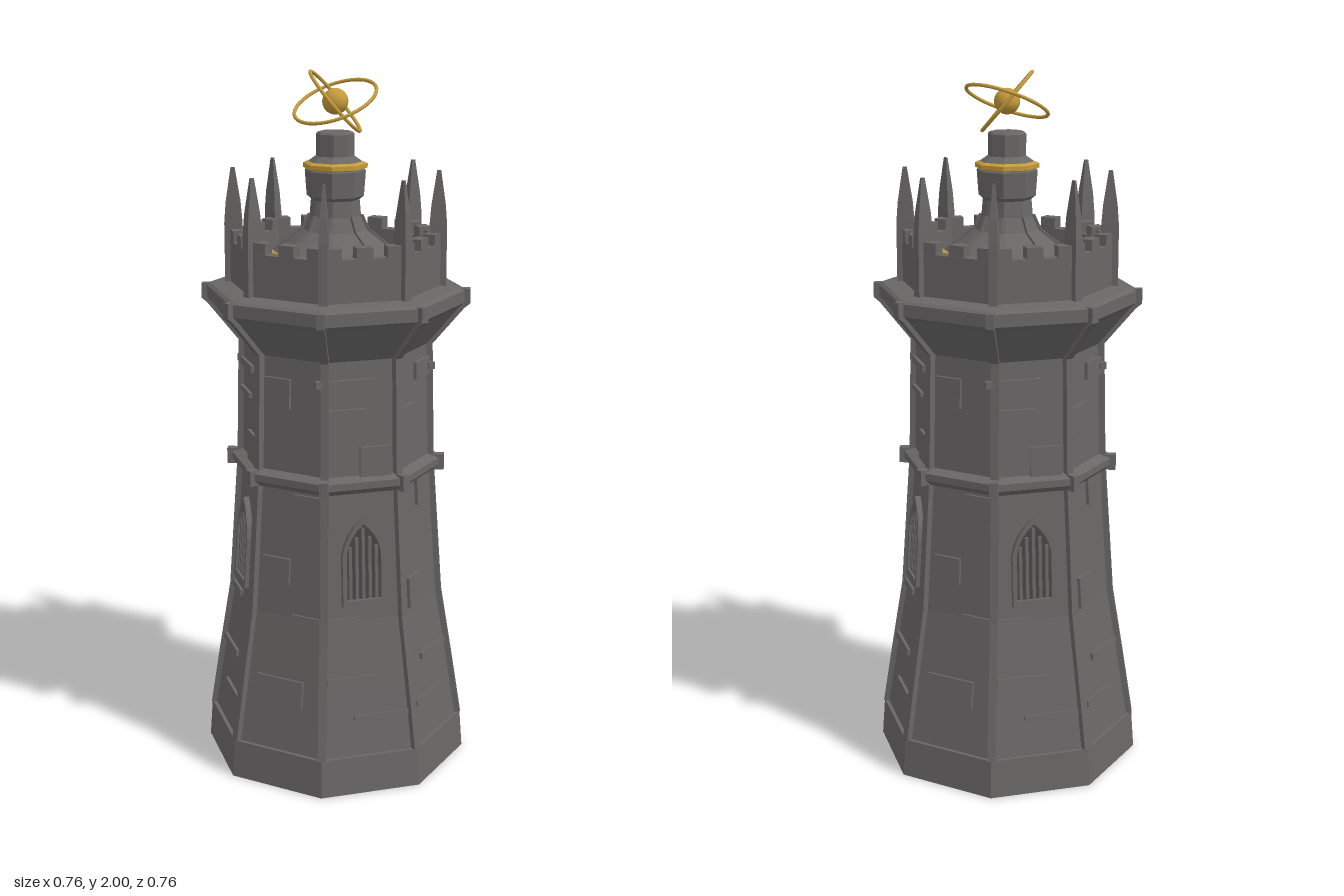
import * as THREE from 'three';

const stone = new THREE.MeshStandardMaterial({ color: 0x696666 });
stone.name = 'stone';
const darkStone = new THREE.MeshStandardMaterial({ color: 0x454343 });
darkStone.name = 'dark stone';
const gold = new THREE.MeshStandardMaterial({ color: 0xc49a3c });
gold.name = 'gold';

const STEP = Math.PI / 4;
const COS = Math.cos(STEP / 2);

// Corner radius of the shaft at each height: [radius, y]
const SHAFT = [[0.363, 0.11], [0.333, 0.3], [0.3, 0.5], [0.279, 0.8], [0.272, 0.9], [0.264, 1.24]];

function flat(geometry) {
  const g = geometry.index ? geometry.toNonIndexed() : geometry;
  g.computeVertexNormals();
  return g;
}

function add(parent, name, geometry, material = stone, x = 0, y = 0, z = 0) {
  const mesh = new THREE.Mesh(geometry, material);
  mesh.name = name;
  mesh.position.set(x, y, z);
  parent.add(mesh);
  return mesh;
}

// Octagonal solid with its corners on the x and z axes
function octagon(points, sides = 8) {
  return flat(new THREE.LatheGeometry(points.map(p => new THREE.Vector2(...p)), sides));
}

// Upright fin from an outline in (radius, y), pointing along +z
function fin(points, width) {
  const shape = new THREE.Shape(points.map(p => new THREE.Vector2(...p)));
  const g = new THREE.ExtrudeGeometry(shape, { depth: width, bevelEnabled: false });
  g.translate(0, 0, -width / 2);
  return g.rotateY(-Math.PI / 2);
}

// Fin following a profile, standing out from it and sunk into it
function rib(profile, out, sink, width) {
  const outer = profile.map(([r, y]) => [r + out, y]);
  const inner = profile.map(([r, y]) => [r - sink, y]).reverse();
  return fin([...outer, ...inner], width);
}

// Distance of a wall face from the axis, and its lean, at height y
function wall(y) {
  let i = 0;
  while (i < SHAFT.length - 2 && y > SHAFT[i + 1][1]) i++;
  const [r0, y0] = SHAFT[i], [r1, y1] = SHAFT[i + 1];
  const slope = (r1 - r0) / (y1 - y0);
  return { z: (r0 + slope * (y - y0)) * COS, tilt: Math.atan(slope * COS) };
}

// Pointed arch outline standing on y = -h/2
function arch(T, w, h) {
  const a = w / 2, b = h / 2, spring = b - w * 0.85;
  const s = new T();
  s.moveTo(-a, -b);
  s.lineTo(a, -b);
  s.lineTo(a, spring);
  s.quadraticCurveTo(a * 0.85, spring + w * 0.5, 0, b);
  s.quadraticCurveTo(-a * 0.85, spring + w * 0.5, -a, spring);
  s.closePath();
  return s;
}

function makeWindow() {
  const group = new THREE.Group();
  group.name = 'window';
  const frame = arch(THREE.Shape, 0.125, 0.255);
  frame.holes.push(arch(THREE.Path, 0.1, 0.22));
  add(group, 'windowFrame', new THREE.ExtrudeGeometry(frame, { depth: 0.022, bevelEnabled: false, curveSegments: 4 }), stone, 0, 0, -0.006);
  add(group, 'windowPane', new THREE.ShapeGeometry(arch(THREE.Shape, 0.11, 0.235), 4), darkStone, 0, 0, 0.003);
  for (let i = -2; i <= 2; i++) {
    const h = 0.205 - Math.abs(i) * 0.026;
    add(group, 'windowBar', new THREE.BoxGeometry(0.009, h, 0.012), stone, i * 0.019, -0.108 + h / 2, 0.005);
  }
  const { z, tilt } = wall(0.67);
  group.position.set(0, 0.67, z);
  group.rotation.x = tilt;
  return group;
}

// Raised stones: [u, y, width, height]
const WINDOW_SIDE = [[0.04, 0.955, 0.09, 0.085], [-0.05, 1.18, 0.16, 0.02], [-0.05, 1.1, 0.12, 0.014],
  [-0.06, 0.5, 0.1, 0.018], [-0.04, 0.33, 0.15, 0.018], [0.04, 0.22, 0.16, 0.014]];
const PLAIN_SIDES = [
  [[-0.045, 1.14, 0.08, 0.085], [0.055, 0.815, 0.085, 0.085], [-0.04, 0.63, 0.085, 0.075],
    [-0.01, 0.28, 0.15, 0.08], [0.06, 0.5, 0.09, 0.016]],
  [[-0.045, 1.05, 0.08, 0.09], [0.05, 1.18, 0.09, 0.05], [0.04, 0.83, 0.08, 0.08],
    [-0.035, 0.55, 0.085, 0.09], [0.03, 0.35, 0.15, 0.018], [-0.03, 0.23, 0.15, 0.016]]];

export function createModel() {
  const tower = new THREE.Group();
  tower.name = 'tower';

  // Shaft, flared gallery and parapet in one profile
  add(tower, 'towerBody', octagon([[0, 0], [0.382, 0], [0.374, 0.11], ...SHAFT,
    [0.352, 1.345], [0.368, 1.36], [0.368, 1.395], [0.358, 1.402], [0.3, 1.408],
    [0.3, 1.525], [0.26, 1.525], [0.26, 1.455], [0.236, 1.455], [0.226, 1.475], [0.18, 1.485]]));
  add(tower, 'beltCourse', octagon([[0.26, 0.86], [0.285, 0.868], [0.304, 0.885], [0.304, 0.905], [0.26, 0.92]]));

  // Inner roof, neck and pedestal
  add(tower, 'roofTrim', octagon([[0.185, 1.475], [0.192, 1.482], [0.192, 1.496], [0.18, 1.5]]), gold);
  add(tower, 'roof', octagon([[0.183, 1.49], [0.135, 1.525], [0.09, 1.56], [0.072, 1.6], [0.068, 1.645],
    [0.08, 1.655], [0.085, 1.725], [0.08, 1.73]]));
  add(tower, 'pedestalTrim', octagon([[0.078, 1.728], [0.09, 1.732], [0.09, 1.744], [0.078, 1.75]]), gold);
  add(tower, 'pedestal', octagon([[0.082, 1.745], [0.06, 1.76], [0.053, 1.765], [0.053, 1.825], [0.048, 1.83], [0, 1.83]]));

  const shaftRib = rib([...SHAFT, [0.352, 1.345], [0.368, 1.358], [0.368, 1.4]], 0.012, 0.02, 0.022);
  const beltKnob = new THREE.BoxGeometry(0.024, 0.045, 0.03);
  const roofRib = rib([[0.178, 1.495], [0.135, 1.527], [0.09, 1.562], [0.072, 1.602]], 0.006, 0.015, 0.009);
  const spike = octagon([[0, 0], [0.031, 0], [0.031, 0.17], [0.025, 0.23], [0.007, 0.325], [0, 0.325]], 4);
  spike.rotateY(Math.PI / 4);
  spike.scale(0.55, 1, 1.1);

  for (let i = 0; i < 8; i++) {
    // Corner pieces
    const corner = new THREE.Group();
    corner.name = 'corner';
    corner.rotation.y = i * STEP;
    add(corner, 'cornerRib', shaftRib);
    add(corner, 'beltKnob', beltKnob, stone, 0, 0.892, 0.299);
    add(corner, 'roofRib', roofRib);
    add(corner, 'spike', flat(spike), stone, 0, 1.403, 0.287);
    tower.add(corner);

    // Wall faces with battlements, windows and raised stones
    const side = new THREE.Group();
    side.name = 'side';
    side.rotation.y = (i + 0.5) * STEP;
    for (const u of [-0.087, 0, 0.087]) {
      add(side, 'merlon', new THREE.BoxGeometry(0.046, 0.036, 0.036), stone, u, 1.538, 0.28 * COS);
    }
    const windowSide = i % 2 === 1;
    if (windowSide) side.add(makeWindow());
    const stones = windowSide ? WINDOW_SIDE : PLAIN_SIDES[(i / 2) % 2];
    for (const [u, y, w, h] of stones) {
      const { z, tilt } = wall(y);
      add(side, 'raisedStone', new THREE.BoxGeometry(w, h, 0.018), stone, u, y, z).rotation.x = tilt;
    }
    tower.add(side);
  }

  // Orb with two tilted rings
  const orb = new THREE.Group();
  orb.name = 'orbAndRings';
  orb.position.y = 1.912;
  add(orb, 'orb', new THREE.SphereGeometry(0.036, 20, 14), gold);
  for (const [radius, ...normal] of [[0.118, 0.05, 0.9, 0.43], [0.105, 0.51, 0.65, -0.56]]) {
    const ring = add(orb, 'ring', new THREE.TorusGeometry(radius, 0.005, 8, 48), gold);
    ring.quaternion.setFromUnitVectors(new THREE.Vector3(0, 0, 1), new THREE.Vector3(...normal).normalize());
  }
  tower.add(orb);
  return tower;
}
